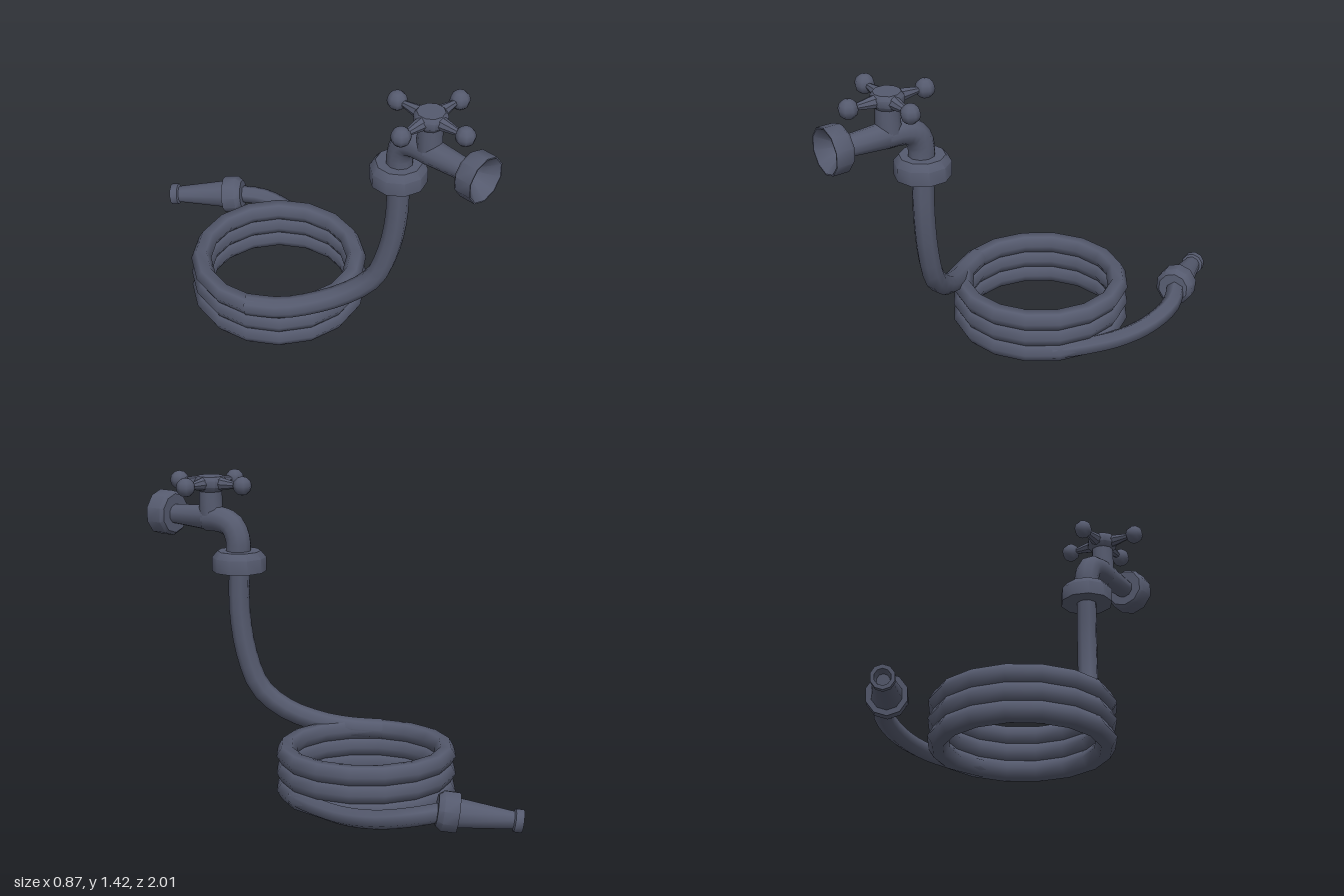
import * as THREE from 'three';
import { toCreasedNormals } from 'three/addons/utils/BufferGeometryUtils.js';

const V = (x, y, z) => new THREE.Vector3(x, y, z);
const UP = V(0, 1, 0);
const HOSE_R = 0.047;
const TAP_X = 0.032;

export function createModel() {
  const model = new THREE.Group();
  model.name = 'tapWithHose';
  const material = new THREE.MeshStandardMaterial({ color: 0x555a6e });

  const add = (name, geometry, parent = model) => {
    const mesh = new THREE.Mesh(geometry, material);
    mesh.name = name;
    parent.add(mesh);
    return mesh;
  };

  // Turned part: profile of [radius, height], listed from the bottom up
  const turned = (name, profile, sides, parent) => add(name, toCreasedNormals(
    new THREE.LatheGeometry(profile.map(([r, y]) => new THREE.Vector2(r, y)), sides), 0.75), parent);

  // Pipe following a smooth path
  const pipe = (name, points, radius, segments, sides) => add(name, new THREE.TubeGeometry(
    new THREE.CatmullRomCurve3(points.map((p) => V(...p))), segments, radius, sides));

  // Three stacked coils with a six-sided section
  const pitch = HOSE_R * Math.sqrt(3);
  for (let i = 0; i < 3; i++) {
    const coil = add('hoseCoil', new THREE.TorusGeometry(0.364, HOSE_R, 6, 16));
    coil.rotation.x = Math.PI / 2;
    coil.position.set(-0.03, pitch * (i + 0.5), -0.12);
  }

  // Hose rising from the top coil to the tap
  pipe('risingHose', [
    [TAP_X, 1.0, 0.54], [TAP_X, 0.78, 0.54], [0.015, 0.58, 0.515], [-0.02, 0.42, 0.465],
    [-0.09, 0.315, 0.37], [-0.2, 0.243, 0.245], [-0.29, 0.212, 0.14], [-0.37, 0.203, 0.01],
  ], 0.049, 18, 8);

  // Hose leaving the bottom coil towards the nozzle
  pipe('outgoingHose', [
    [0.29, 0.041, 0.05], [0.345, 0.041, -0.1], [0.385, 0.044, -0.28], [0.388, 0.062, -0.45],
    [0.35, 0.092, -0.6], [0.25, 0.112, -0.715],
  ], 0.043, 16, 6);

  // Nozzle with collar, tapered barrel and hollow tip
  const nozzle = new THREE.Group();
  nozzle.name = 'nozzle';
  const start = V(0.272, 0.116, -0.675);
  const tip = V(0.068, 0.065, -0.977);
  const length = tip.distanceTo(start);
  nozzle.position.copy(start);
  nozzle.quaternion.setFromUnitVectors(UP, tip.clone().sub(start).normalize());
  model.add(nozzle);
  turned('nozzleCollar', [[0, 0], [0.07, 0], [0.09, 0.025], [0.09, 0.09], [0, 0.09]], 10, nozzle);
  turned('nozzleBarrel', [
    [0.067, 0.085], [0.04, length - 0.04], [0.052, length - 0.035], [0.052, length],
    [0.035, length], [0.028, length - 0.06], [0, length - 0.06],
  ], 10, nozzle);

  // Coupling between hose and tap
  turned('coupling', [
    [0, 0.975], [0.125, 0.975], [0.125, 1.04], [0.1, 1.07], [0, 1.07],
  ], 10).position.set(TAP_X, 0, 0.54);

  // Elbow and tapered pipe
  pipe('elbow', [
    [TAP_X, 1.04, 0.545], [TAP_X, 1.12, 0.545], [TAP_X, 1.18, 0.575],
    [TAP_X, 1.203, 0.635], [TAP_X, 1.205, 0.72],
  ], 0.059, 10, 10);
  const supply = turned('supplyPipe', [[0.059, 0.71], [0.045, 0.93]], 10);
  supply.rotation.x = Math.PI / 2;
  supply.position.set(TAP_X, 1.207, 0);

  // Hollow, funnel-shaped wall flange
  const flange = turned('wallFlange', [
    [0, 0.91], [0.092, 0.91], [0.106, 0.925], [0.106, 1.0], [0.1, 1.0],
    [0.05, 0.945], [0.045, 0.915], [0, 0.915],
  ], 10);
  flange.rotation.x = Math.PI / 2;
  flange.position.set(TAP_X, 1.21, 0);

  // Valve stem and cross handle
  const handle = new THREE.Group();
  handle.name = 'valveHandle';
  handle.position.set(TAP_X, 1.37, 0.7);
  model.add(handle);
  turned('valveStem', [[0.056, -0.15], [0.052, -0.025]], 10, handle);
  turned('handleHub', [
    [0, -0.04], [0.05, -0.04], [0.073, -0.015], [0.073, 0.015], [0.06, 0.033], [0, 0.033],
  ], 10, handle);
  for (let i = 0; i < 4; i++) {
    const arm = new THREE.Group();
    arm.name = 'handleArm';
    arm.rotation.y = i * Math.PI / 2;
    handle.add(arm);
    const spoke = turned('spoke', [[0.032, 0.05], [0.014, 0.15]], 8, arm);
    spoke.rotation.z = -Math.PI / 2;
    const knob = add('knob', new THREE.SphereGeometry(0.044, 8, 6), arm);
    knob.position.x = 0.183;
  }
  return model;
}
